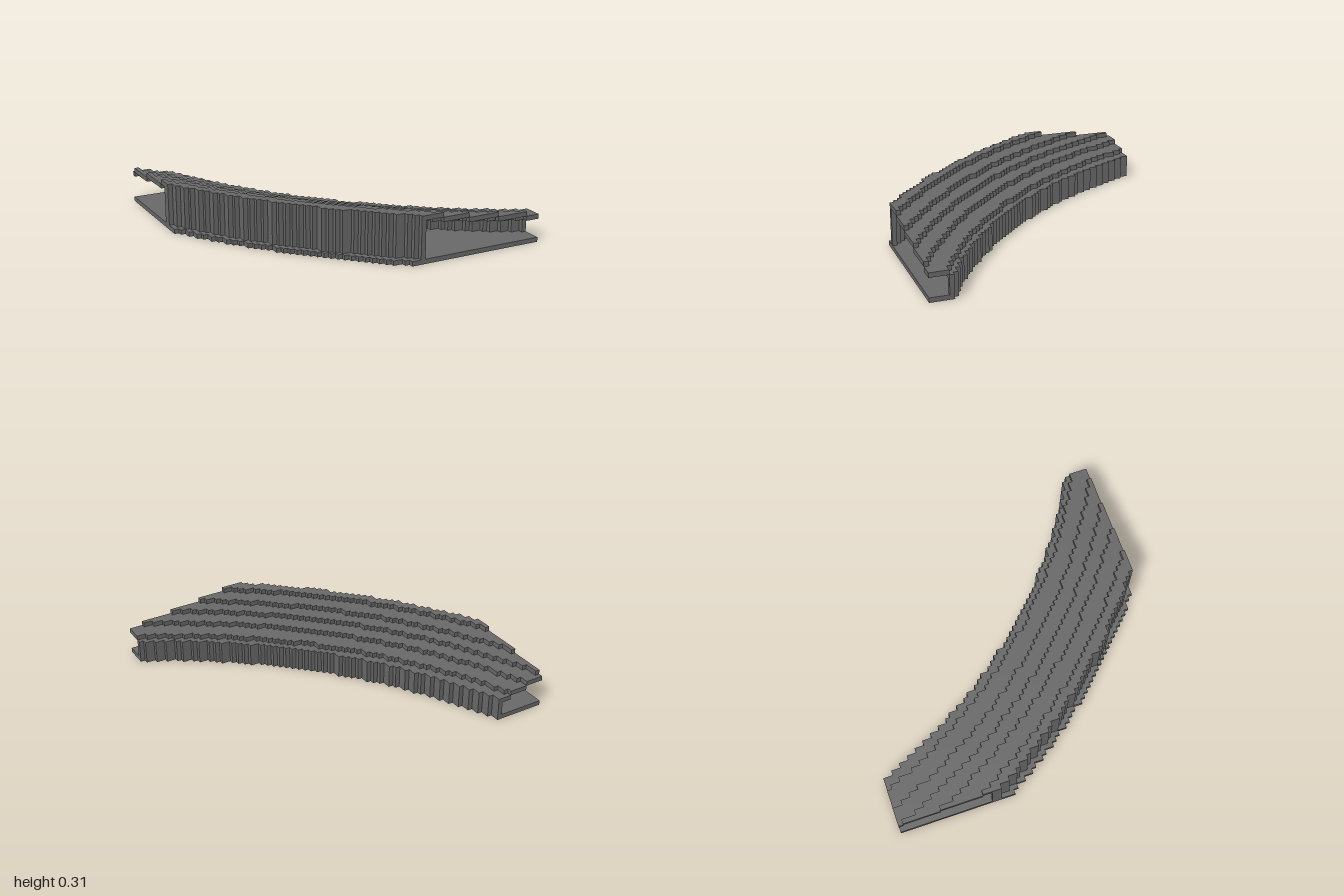
import * as THREE from 'three';

// Curved, banked hollow track piece made of small cubes
const N = 64, S = 2 / N, TOP = 10;
const CX = 2.67, CZ = -2.32;              // centre of the bend
const R_IN = 3.585, R_WALL = 4.17, R_OUT = 4.21;
const TIERS = [3.62, 3.745, 3.855, 3.955, 4.075]; // radii where the roof steps up

const at = (i) => -1 + (i + 0.5) * S;
const radius = (i, k) => Math.hypot(CX - at(i), at(k) - CZ);
const inFloor = (i, k) => radius(i, k) > R_IN && radius(i, k) < R_OUT;
const inBody = (i, k) => radius(i, k) > R_IN && radius(i, k) < R_WALL;

// Roof height in cubes; the steps drift slightly outward along the bend
function roofTop(i, k) {
  const angle = Math.atan2(at(k) - CZ, CX - at(i));
  const drift = 0.045 * (1.1 - angle) / 0.75;
  return 5 + TIERS.filter((t) => radius(i, k) > t + drift).length;
}

// Is this column on the rim of the body, on the given side?
function onRim(i, k, outer) {
  return [[1, 0], [-1, 0], [0, 1], [0, -1]].some(([a, b]) => {
    const r = radius(i + a, k + b);
    return outer ? r >= R_WALL : r <= R_IN;
  });
}

// Which part fills a cube, or null when empty
function partAt(i, j, k) {
  if (i < 0 || k < 0 || j < 0 || i >= N || k >= N || j >= TOP) return null;
  if (j === 0) return inFloor(i, k) ? 'floor' : null;
  if (!inBody(i, k)) return null;
  const top = roofTop(i, k);
  if (j >= top) return null;
  if (j === top - 1) return 'steppedRoof';
  if (onRim(i, k, true)) return 'outerWall';
  if (onRim(i, k, false)) return 'innerWall';
  return null;
}

// Outward directions, each with two edge directions (u x v = normal)
const FACES = [
  [[1, 0, 0], [0, 1, 0], [0, 0, 1]], [[-1, 0, 0], [0, 0, 1], [0, 1, 0]],
  [[0, 1, 0], [0, 0, 1], [1, 0, 0]], [[0, -1, 0], [1, 0, 0], [0, 0, 1]],
  [[0, 0, 1], [1, 0, 0], [0, 1, 0]], [[0, 0, -1], [0, 1, 0], [1, 0, 0]],
];

export function createModel() {
  const group = new THREE.Group();
  group.name = 'bankedTrackCurve';
  const stone = new THREE.MeshStandardMaterial({ color: 0x696969 });
  stone.name = 'dark grey stone';
  const points = { floor: [], innerWall: [], outerWall: [], steppedRoof: [] };

  // Collect only the exposed cube faces of each part
  for (let i = 0; i < N; i++) for (let k = 0; k < N; k++) for (let j = 0; j < TOP; j++) {
    const part = partAt(i, j, k);
    if (!part) continue;
    const c = [at(i), (j + 0.5) * S, at(k)];
    for (const [n, u, v] of FACES) {
      if (partAt(i + n[0], j + n[1], k + n[2])) continue;
      const corner = (a, b) => c.map((x, d) => x + (n[d] + a * u[d] + b * v[d]) * S / 2);
      const [p, q, r, s] = [corner(-1, -1), corner(1, -1), corner(1, 1), corner(-1, 1)];
      points[part].push(...p, ...q, ...r, ...p, ...r, ...s);
    }
  }

  for (const [name, list] of Object.entries(points)) {
    const geometry = new THREE.BufferGeometry();
    geometry.setAttribute('position', new THREE.Float32BufferAttribute(list, 3));
    geometry.computeVertexNormals();
    const mesh = new THREE.Mesh(geometry, stone);
    mesh.name = name;
    group.add(mesh);
  }
  return group;
}
